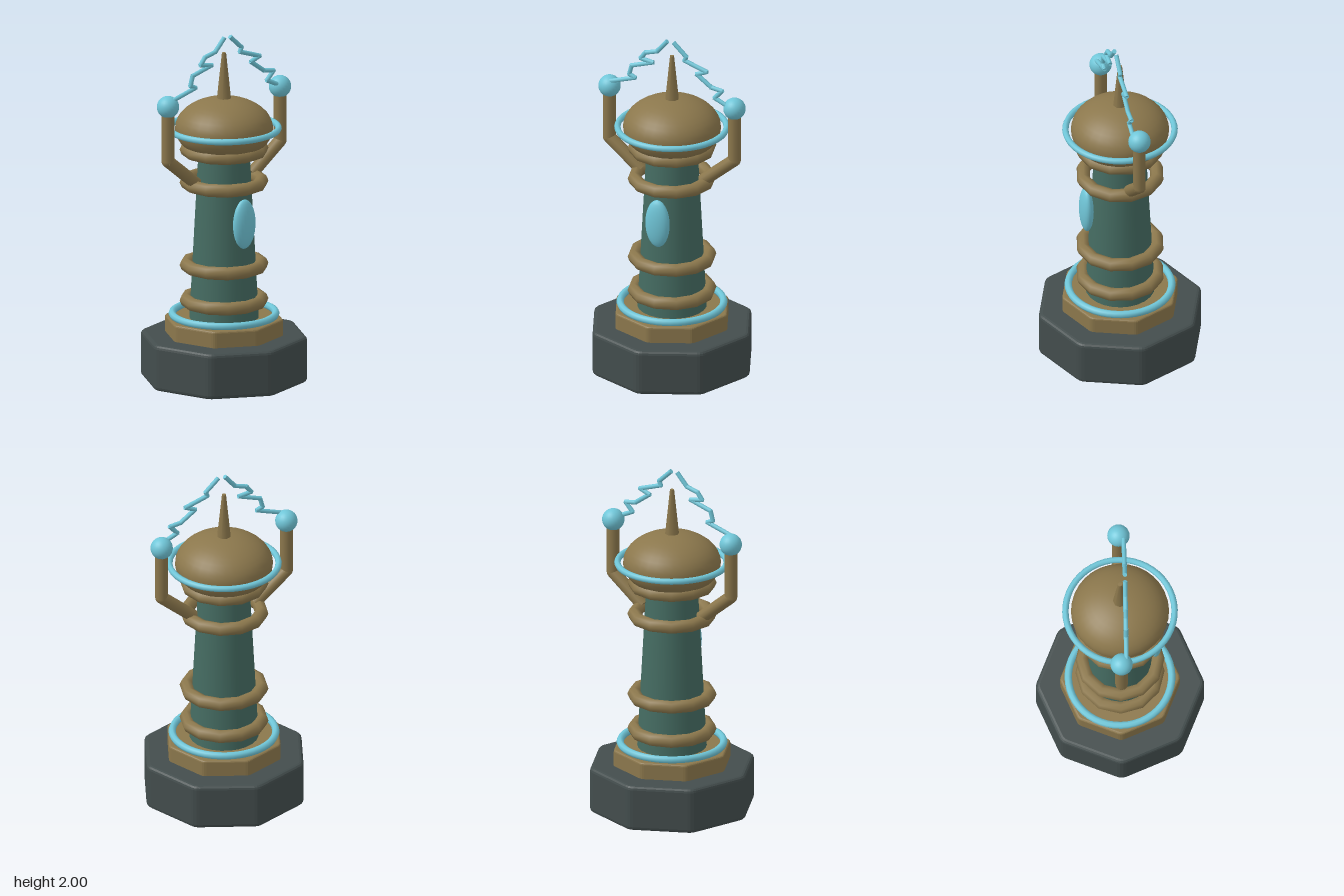
import * as THREE from 'three';

const mat = (name, color) => {
  const m = new THREE.MeshStandardMaterial({ color });
  m.name = name;
  return m;
};

export function createModel() {
  const root = new THREE.Group();
  root.name = 'energyTower';
  const stone = mat('dark stone', 0x434d4d);
  const bronze = mat('bronze', 0x8b774c);
  const teal = mat('teal', 0x456c62);
  const cyan = mat('cyan', 0x70c6d8);

  const add = (name, geo, material, x = 0, y = 0, z = 0, parent = root) => {
    const m = new THREE.Mesh(geo, material);
    m.name = name;
    m.position.set(x, y, z);
    parent.add(m);
    return m;
  };

  // Octagonal slab with rounded corners and bevelled rims
  const slab = (name, radius, y0, y1, bevel, material) => {
    const r = radius - bevel, cut = 0.06;
    const pts = [...Array(8)].map((_, i) =>
      new THREE.Vector2(Math.cos(i * Math.PI / 4) * r, Math.sin(i * Math.PI / 4) * r));
    const shape = new THREE.Shape();
    pts.forEach((p, i) => {
      const a = p.clone().lerp(pts[(i + 7) % 8], cut);
      const b = p.clone().lerp(pts[(i + 1) % 8], cut);
      if (i === 0) shape.moveTo(a.x, a.y);
      else shape.lineTo(a.x, a.y);
      shape.quadraticCurveTo(p.x, p.y, b.x, b.y);
    });
    shape.closePath();
    const geo = new THREE.ExtrudeGeometry(shape, {
      depth: y1 - y0 - 2 * bevel, bevelSize: bevel, bevelThickness: bevel,
      bevelSegments: 3, curveSegments: 3,
    });
    geo.translate(0, 0, bevel).rotateX(-Math.PI / 2);
    add(name, geo, material, 0, y0);
  };
  slab('base', 0.475, 0, 0.265, 0.022, stone);
  slab('plinth', 0.338, 0.25, 0.36, 0.012, bronze);

  // Horizontal ring
  const ring = (name, y, R, tube, radial, segments, material) =>
    add(name, new THREE.TorusGeometry(R, tube, radial, segments).rotateX(Math.PI / 2), material, 0, y);
  ring('lowerGlowRing', 0.38, 0.29, 0.021, 8, 48, cyan);
  ring('upperGlowRing', 1.455, 0.306, 0.018, 8, 48, cyan);
  [0.46, 0.665, 1.145, 1.335].forEach((y, i) =>
    ring('band' + (i + 1), y, 0.212, 0.038, 8, 12, bronze));

  // Tapered column and its collar
  add('column', new THREE.CylinderGeometry(0.145, 0.195, 0.94, 24), teal, 0, 0.83);
  add('collar', new THREE.CylinderGeometry(0.185, 0.155, 0.04, 16), bronze, 0, 1.302);

  // Domed head with spike
  add('dome', new THREE.SphereGeometry(0.275, 32, 20).scale(1, 0.64, 1), bronze, 0, 1.455);
  add('spike', new THREE.CylinderGeometry(0.012, 0.043, 0.29, 8), bronze, 0, 1.747);

  // Oval gem on the front
  add('gem', new THREE.SphereGeometry(1, 24, 16).scale(0.073, 0.143, 0.038), cyan, 0, 0.94, 0.197);

  // Cylinder between two points, lengthened at both ends
  const rod = (name, a, b, r, sides, extra, material, parent) => {
    const p = new THREE.Vector3(...a), d = new THREE.Vector3(...b).sub(p);
    const m = add(name, new THREE.CylinderGeometry(r, r, d.length() + extra * 2, sides), material, 0, 0, 0, parent);
    m.position.copy(p).addScaledVector(d, 0.5);
    m.quaternion.setFromUnitVectors(new THREE.Vector3(0, 1, 0), d.normalize());
  };

  // Bent arms with orbs
  for (const [side, s] of [['left', 1], ['right', -1]]) {
    const arm = new THREE.Group();
    arm.name = side + 'Arm';
    root.add(arm);
    rod('lowerArm', [s * 0.19, 1.16, 0], [s * 0.385, 1.322, 0], 0.036, 12, 0, bronze, arm);
    rod('upperArm', [s * 0.385, 1.322, 0], [s * 0.385, 1.6, 0], 0.036, 12, 0, bronze, arm);
    add('elbow', new THREE.SphereGeometry(0.036, 12, 10), bronze, s * 0.385, 1.322, 0, arm);
    add('orb', new THREE.SphereGeometry(0.063, 24, 16), cyan, s * 0.384, 1.637, 0, arm);
  }

  // Zigzag sparks from the orbs to the apex
  const sparks = {
    leftSpark: [[0.025, 1.985], [0.1, 1.915], [0.09, 1.89], [0.225, 1.845], [0.165, 1.82],
      [0.255, 1.755], [0.32, 1.745], [0.275, 1.695], [0.37, 1.65]],
    rightSpark: [[-0.02, 1.985], [-0.08, 1.915], [-0.15, 1.895], [-0.18, 1.855], [-0.105, 1.842],
      [-0.235, 1.8], [-0.25, 1.745], [-0.215, 1.728], [-0.365, 1.68]],
  };
  for (const [name, pts] of Object.entries(sparks)) {
    const spark = new THREE.Group();
    spark.name = name;
    root.add(spark);
    for (let i = 1; i < pts.length; i++)
      rod('bolt' + i, [...pts[i - 1], 0.028], [...pts[i], 0.028], 0.013, 8, 0.005, cyan, spark);
  }
  return root;
}
